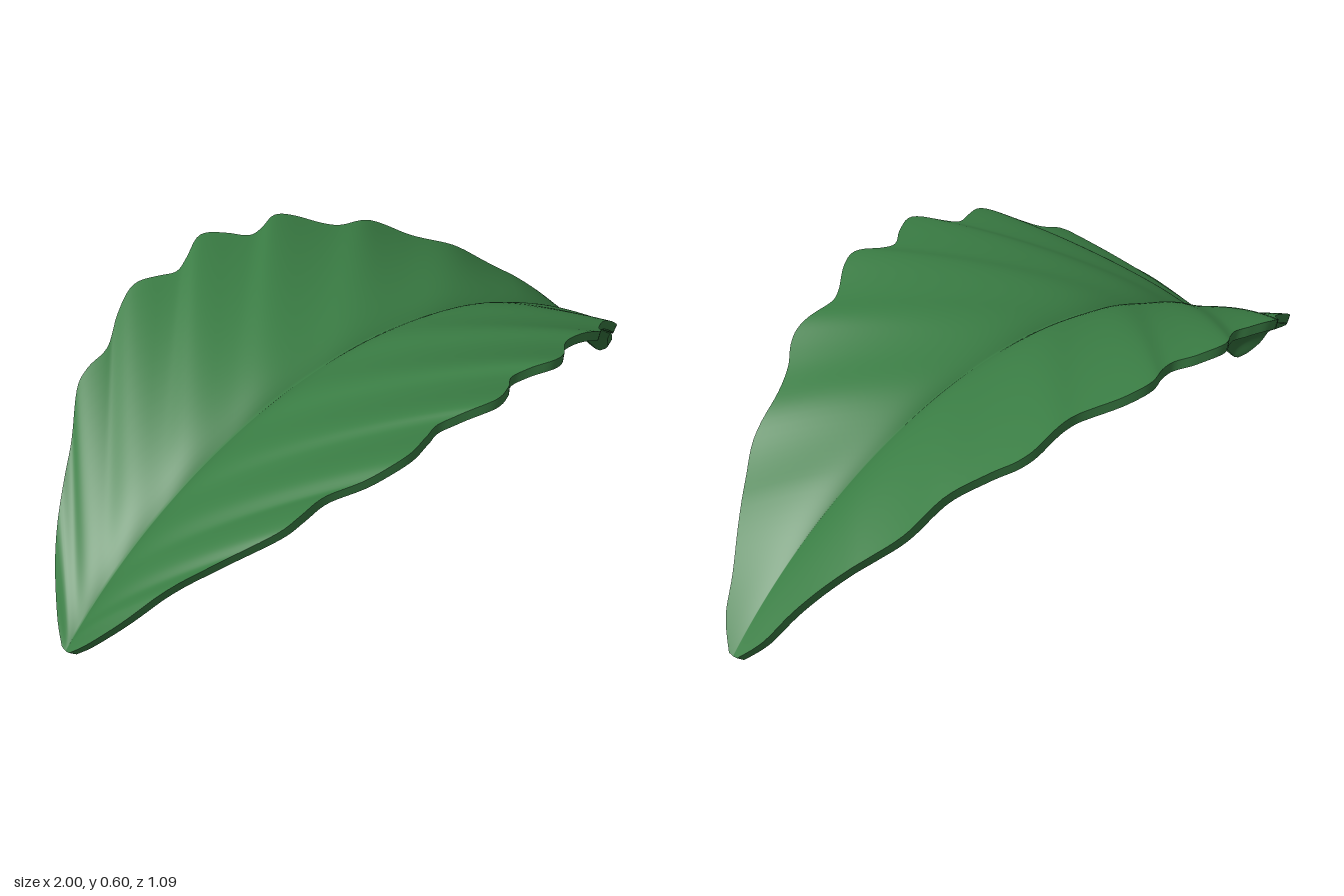
import * as THREE from 'three';

// Half outline of the blade: [x, half width]
const OUTLINE = [
  [-1, 0.015], [-0.97, 0.07], [-0.9, 0.16], [-0.8, 0.25], [-0.73, 0.31], [-0.65, 0.39], [-0.6, 0.41],
  [-0.53, 0.42], [-0.45, 0.48], [-0.37, 0.515], [-0.3, 0.5], [-0.25, 0.485], [-0.2, 0.505],
  [-0.12, 0.545], [-0.05, 0.52], [0, 0.485], [0.05, 0.49], [0.12, 0.515], [0.18, 0.495],
  [0.25, 0.44], [0.3, 0.42], [0.4, 0.42], [0.45, 0.4], [0.5, 0.355], [0.58, 0.31], [0.68, 0.28],
  [0.75, 0.23], [0.82, 0.175], [0.9, 0.11], [0.96, 0.07], [1, 0.015],
];
const outline = new THREE.SplineCurve(OUTLINE.map(([x, w]) => new THREE.Vector2(x, w)));

const RADIUS = 1.346;   // bend of the midrib
const TOP = 0.47;       // midrib height at the middle
const THICKNESS = 0.026;

// Point of the leaf: u runs stem to tip, s runs -1..1 across, depth 0 top .. 1 underside
function leafPoint(u, s, depth) {
  const edge = outline.getPoint(u);
  const v = Math.abs(s) ** 1.5;
  // each cross line follows a slanted side vein from midrib to margin
  const root = edge.x - 0.48 * (1 - edge.x * edge.x);
  const x = root + (edge.x - root) * v;
  const z = edge.y * v;
  // folded groove at the midrib, then gently rising wings
  const groove = 0.025 * Math.min(1, edge.y / 0.2) * (1 - Math.exp(-z / 0.04));
  const wing = (0.2 - 0.06 * x) * z;
  // soft ripples between the side veins
  const ripple = 0.006 * Math.cos((edge.x + 0.12) * Math.PI * 2 / 0.245) * Math.sqrt(v) * Math.min(1, edge.y / 0.3);
  const rise = Math.sqrt(RADIUS * RADIUS - x * x);
  const y = TOP - RADIUS + rise + groove + wing + ripple;
  const d = THICKNESS * depth / RADIUS;
  return [x - x * d, y - rise * d, z * Math.sign(s)];
}

// Indexed grid over (u, v) in 0..1
function grid(nu, nv, point) {
  const positions = [], index = [];
  for (let i = 0; i <= nu; i++) {
    for (let j = 0; j <= nv; j++) {
      positions.push(...point(i / nu, j / nv));
      if (i < nu && j < nv) {
        const a = i * (nv + 1) + j, c = a + nv + 1;
        index.push(a, a + 1, c, a + 1, c + 1, c);
      }
    }
  }
  const geometry = new THREE.BufferGeometry();
  geometry.setAttribute('position', new THREE.Float32BufferAttribute(positions, 3));
  geometry.setIndex(index);
  geometry.computeVertexNormals();
  return geometry;
}

export function createModel() {
  const group = new THREE.Group();
  group.name = 'leaf';
  const green = new THREE.MeshStandardMaterial({ color: 0x3a7d44 });
  green.name = 'leafGreen';

  const add = (name, geometry) => {
    const mesh = new THREE.Mesh(geometry, green);
    mesh.name = name;
    group.add(mesh);
  };

  const LONG = 150, WIDE = 40;
  // Blade faces
  add('upperSurface', grid(LONG, WIDE, (u, v) => leafPoint(u, 2 * v - 1, 0)));
  add('lowerSurface', grid(LONG, WIDE, (u, v) => leafPoint(u, 1 - 2 * v, 1)));
  // Thin margin all the way round
  add('frontMargin', grid(LONG, 1, (u, v) => leafPoint(u, 1, v)));
  add('backMargin', grid(LONG, 1, (u, v) => leafPoint(1 - u, -1, v)));
  add('tipEnd', grid(WIDE, 1, (u, v) => leafPoint(1, 1 - 2 * u, v)));
  add('stemEnd', grid(WIDE, 1, (u, v) => leafPoint(0, 2 * u - 1, v)));
  return group;
}
